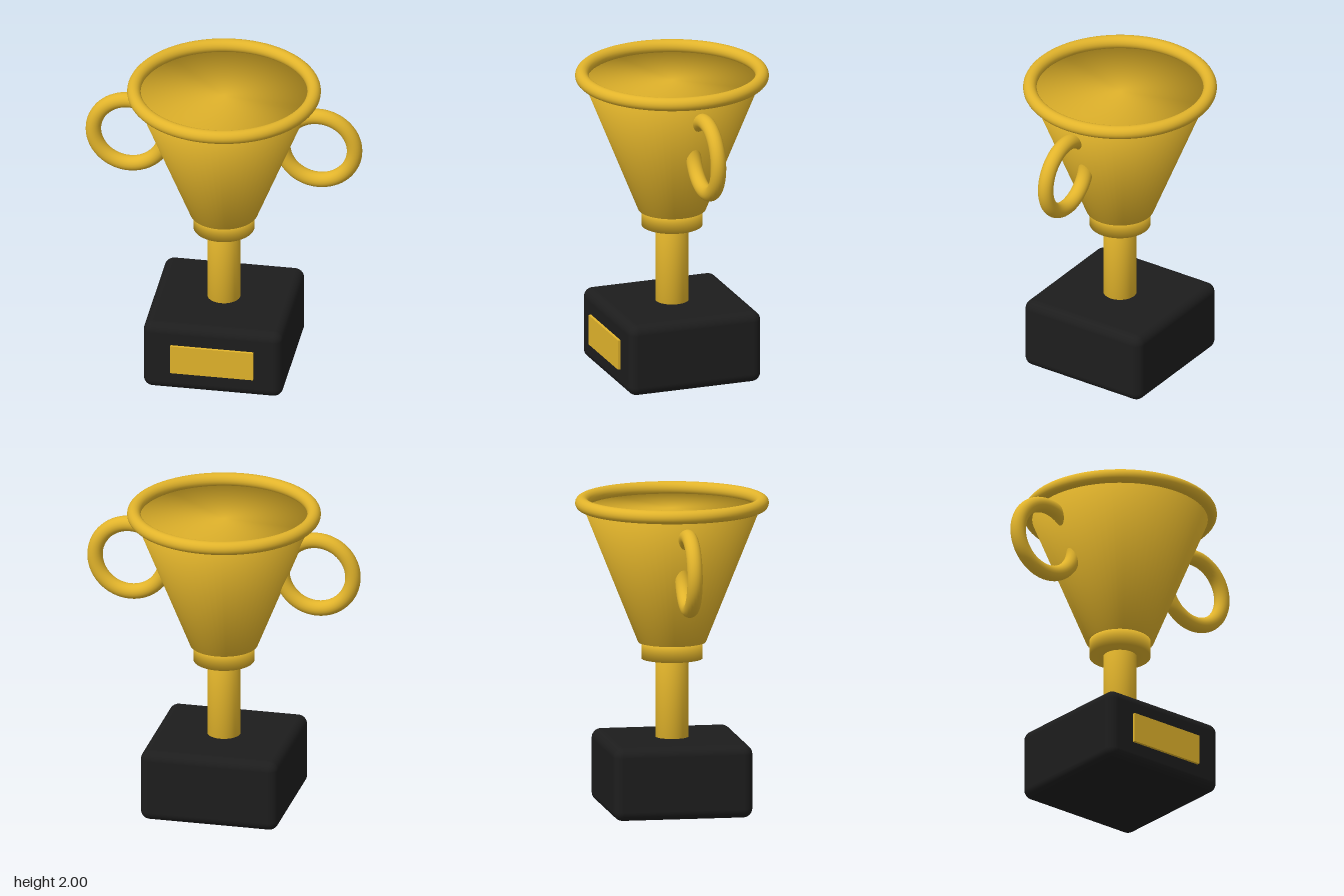
import * as THREE from 'three';
import { RoundedBoxGeometry } from 'three/addons/geometries/RoundedBoxGeometry.js';

const gold = new THREE.MeshStandardMaterial({ color: 0xe2b42b });
gold.name = 'gold';
const black = new THREE.MeshStandardMaterial({ color: 0x1d1d1d });
black.name = 'black';

// Closed round solid whose rims are shaded smoothly into its flat ends
function roundSolid(bottomRadius, bottomY, topRadius, topY) {
  const profile = [[0, bottomY], [bottomRadius, bottomY], [topRadius, topY], [0, topY]];
  const solid = new THREE.LatheGeometry(profile.map(([r, y]) => new THREE.Vector2(r, y)), 64);
  solid.normalizeNormals();
  return solid;
}

export function createModel() {
  const model = new THREE.Group();
  model.name = 'model';

  // The whole trophy is turned slightly about the vertical axis
  const trophy = new THREE.Group();
  trophy.name = 'trophy';
  trophy.rotation.y = -0.139;
  model.add(trophy);

  const add = (name, geometry, material, x = 0, y = 0, z = 0) => {
    const mesh = new THREE.Mesh(geometry, material);
    mesh.name = name;
    mesh.position.set(x, y, z);
    trophy.add(mesh);
    return mesh;
  };

  // Plinth with its raised front plate
  add('base', new RoundedBoxGeometry(0.89, 0.465, 0.89, 5, 0.06), black, 0, 0.2325, 0);
  add('plate', new THREE.BoxGeometry(0.53, 0.195, 0.04), gold, 0, 0.233, 0.443);

  // Stem, collar and solid cup
  add('stem', roundSolid(0.105, 0.46, 0.105, 0.97), gold);
  add('collar', roundSolid(0.193, 0.965, 0.193, 1.075), gold);
  add('cup', roundSolid(0.214, 1.07, 0.557, 1.925), gold);

  // Rolled rim
  const rim = add('rim', new THREE.TorusGeometry(0.568, 0.043, 20, 80), gold, 0, 1.957, 0);
  rim.rotation.x = Math.PI / 2;

  // Ring handles
  const ring = new THREE.TorusGeometry(0.23, 0.049, 20, 64);
  for (const [name, side] of [['leftHandle', 1], ['rightHandle', -1]]) {
    add(name, ring, gold, side * 0.605, 1.603, 0);
  }

  return model;
}
